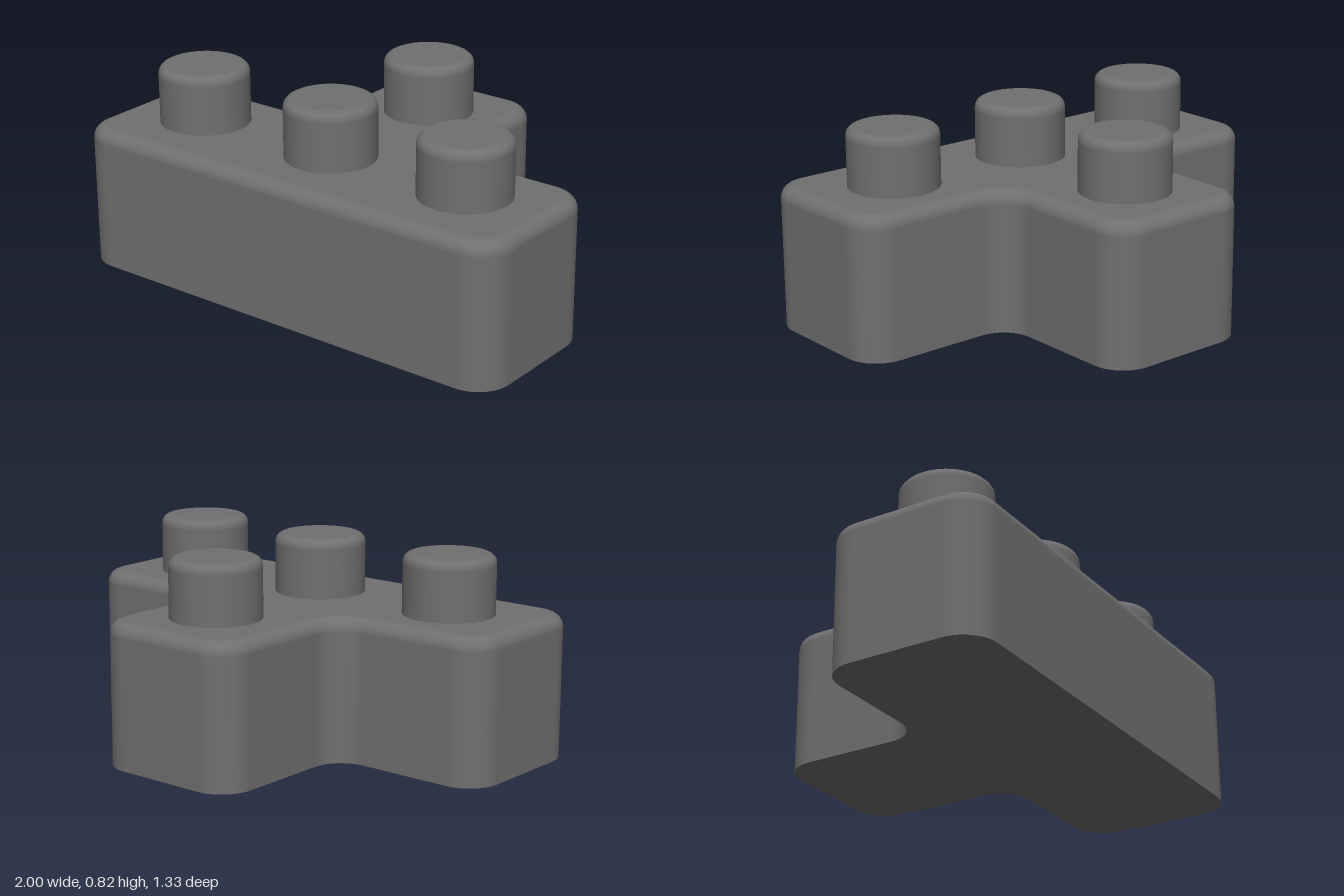
import * as THREE from 'three';

const HEIGHT = 0.583, BEVEL = 0.055, STUD_TOP = 0.823, STUD_R = 0.183;
const R_OUT = 0.14, R_IN = 0.13, STEPS = 10;
const HALF = 1, DEPTH = 0.665, STEM = 0.334, BAR_BACK = 0.003;

// Corners of the T, counter-clockwise seen from above: x, y (towards the back), start angle in quarter turns, concave?
const CORNERS = [
  [HALF, -DEPTH, -1], [HALF, BAR_BACK, 0], [STEM, BAR_BACK, 3, true], [STEM, DEPTH, 0],
  [-STEM, DEPTH, 1], [-STEM, BAR_BACK, 4, true], [-HALF, BAR_BACK, 1], [-HALF, -DEPTH, 2],
];

// Rounded T outline moved inwards by an inset, with outward normals
function outline(inset) {
  const loop = [];
  for (const [x, y, quarter, concave] of CORNERS) {
    const turn = concave ? -1 : 1, r = concave ? R_IN : R_OUT;
    const mid = (quarter + turn / 2) * Math.PI / 2;
    const cx = x - Math.sign(Math.cos(mid)) * r, cy = y - Math.sign(Math.sin(mid)) * r;
    for (let i = 0; i <= STEPS; i++) {
      const a = (quarter + turn * i / STEPS) * Math.PI / 2;
      const c = Math.cos(a), s = Math.sin(a), d = r - turn * inset;
      loop.push({ x: cx + d * c, y: cy + d * s, nx: turn * c, ny: turn * s });
    }
  }
  return loop;
}

// Straight wall rising into a rounded top edge
function wallGeometry() {
  const rings = [[0, 0, 0]], pos = [], nor = [], index = [];
  for (let i = 0; i <= 6; i++) {
    const a = i / 6 * Math.PI / 2;
    rings.push([BEVEL * (1 - Math.cos(a)), HEIGHT - BEVEL * (1 - Math.sin(a)), a]);
  }
  for (const [inset, h, a] of rings) {
    for (const p of outline(inset)) {
      pos.push(p.x, h, -p.y);
      nor.push(p.nx * Math.cos(a), Math.sin(a), -p.ny * Math.cos(a));
    }
  }
  const n = CORNERS.length * (STEPS + 1);
  for (let k = 0; k < rings.length - 1; k++) {
    for (let i = 0; i < n; i++) {
      const a = k * n + i, b = k * n + (i + 1) % n;
      index.push(a, b, b + n, a, b + n, a + n);
    }
  }
  const geometry = new THREE.BufferGeometry();
  geometry.setAttribute('position', new THREE.Float32BufferAttribute(pos, 3));
  geometry.setAttribute('normal', new THREE.Float32BufferAttribute(nor, 3));
  geometry.setIndex(index);
  return geometry;
}

// Flat T-shaped face
function capGeometry(inset) {
  const shape = new THREE.Shape(outline(inset).map(p => new THREE.Vector2(p.x, p.y)));
  return new THREE.ShapeGeometry(shape).rotateX(-Math.PI / 2);
}

// Round stud with a softened rim
function studGeometry() {
  const rim = 0.035, points = [new THREE.Vector2(STUD_R, HEIGHT - 0.01)];
  points.push(new THREE.Vector2(STUD_R, STUD_TOP - rim - 0.004));
  for (let i = 0; i <= 5; i++) {
    const a = i / 5 * Math.PI / 2;
    points.push(new THREE.Vector2(STUD_R - rim * (1 - Math.cos(a)), STUD_TOP - rim * (1 - Math.sin(a))));
  }
  points.push(new THREE.Vector2(STUD_R - rim - 0.004, STUD_TOP), new THREE.Vector2(0, STUD_TOP));
  return new THREE.LatheGeometry(points, 48);
}

export function createModel() {
  const model = new THREE.Group();
  model.name = 'studdedTBlock';
  const material = new THREE.MeshStandardMaterial({ color: 0x707070 });
  const add = (name, geometry) => {
    const mesh = new THREE.Mesh(geometry, material);
    mesh.name = name;
    model.add(mesh);
    return mesh;
  };

  // Body
  add('bodyWall', wallGeometry());
  add('bodyTop', capGeometry(BEVEL)).position.y = HEIGHT;

  // Underside, turned to face down
  const bottom = capGeometry(0);
  const order = bottom.index.array;
  for (let i = 0; i < order.length; i += 3) [order[i], order[i + 1]] = [order[i + 1], order[i]];
  bottom.computeVertexNormals();
  add('bodyBottom', bottom);

  // Studs: three along the front bar, one on the stem
  const stud = studGeometry();
  const places = { Right: [-0.637, 0.309], Middle: [0.009, 0.309], Left: [0.643, 0.309], Back: [0.009, -0.329] };
  for (const [side, [x, z]] of Object.entries(places)) add('stud' + side, stud).position.set(x, 0, z);

  return model;
}
